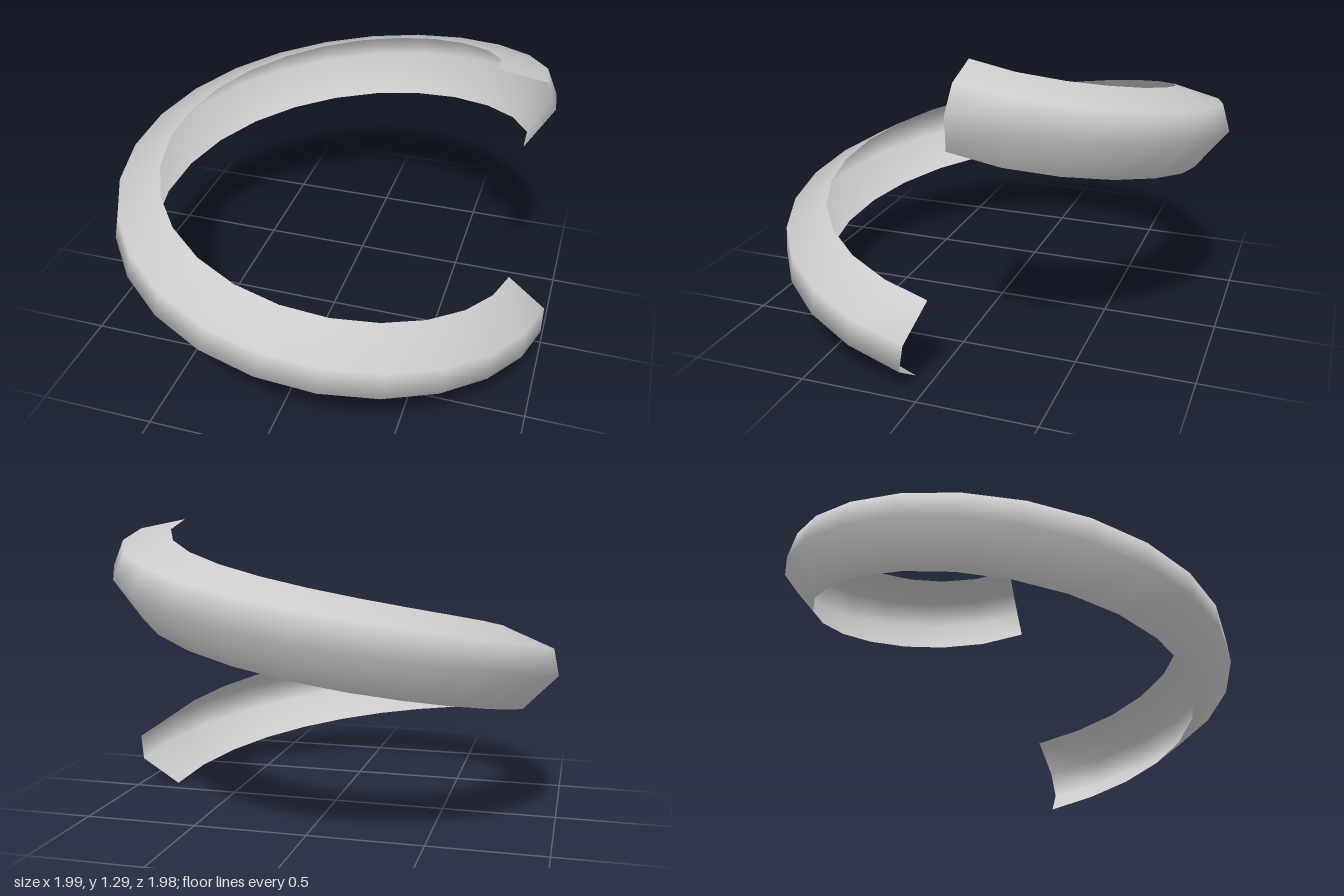
import * as THREE from 'three';

// Open channel cross-section, bottom lip to top lip: [outward, up]
const PROFILE = [[0, -0.178], [0.175, -0.06], [0.175, 0.06], [0, 0.178]];
const SEGMENTS = 24;
const START = THREE.MathUtils.degToRad(3.3);
const END = THREE.MathUtils.degToRad(353.2);
const RISE = 0.957;
const PITCH = THREE.MathUtils.degToRad(9.8);
const TWIST = THREE.MathUtils.degToRad(22.5);

// Nearly constant radius that flares at the start and tucks in at the end
const radiusAt = (t) => 0.808 + 0.017 * (1 - t) ** 12 - 0.058 * t ** 25;

function helicalChannel() {
  const positions = [];
  const indices = [];
  const n = PROFILE.length;

  for (let i = 0; i <= SEGMENTS; i++) {
    const t = i / SEGMENTS;
    const angle = THREE.MathUtils.lerp(START, END, t);
    const radial = new THREE.Vector3(Math.cos(angle), 0, Math.sin(angle));
    const along = new THREE.Vector3(-Math.sin(angle), 0, Math.cos(angle));
    const centre = radial.clone().multiplyScalar(radiusAt(t));
    centre.y = 0.176 + RISE * t;

    // Frame square to the climbing path, rolled gradually along it
    const up = new THREE.Vector3(0, Math.cos(PITCH), 0).addScaledVector(along, -Math.sin(PITCH));
    const c = Math.cos(TWIST * t);
    const s = Math.sin(TWIST * t);

    PROFILE.forEach(([out, high], j) => {
      const p = centre.clone()
        .addScaledVector(radial, out * c - high * s)
        .addScaledVector(up, out * s + high * c);
      positions.push(p.x, p.y, p.z);
      if (i < SEGMENTS && j < n - 1) {
        const a = i * n + j;
        indices.push(a, a + 1, a + n, a + 1, a + n + 1, a + n);
      }
    });
  }

  const geometry = new THREE.BufferGeometry();
  geometry.setAttribute('position', new THREE.Float32BufferAttribute(positions, 3));
  geometry.setIndex(indices);
  geometry.computeVertexNormals();
  return geometry;
}

export function createModel() {
  const group = new THREE.Group();
  group.name = 'spiralSlide';
  const material = new THREE.MeshStandardMaterial({ color: 0xcccccc, side: THREE.DoubleSide });

  // Single thin spiral channel, open towards the axis
  const channel = new THREE.Mesh(helicalChannel(), material);
  channel.name = 'spiralChannel';
  group.add(channel);
  return group;
}
